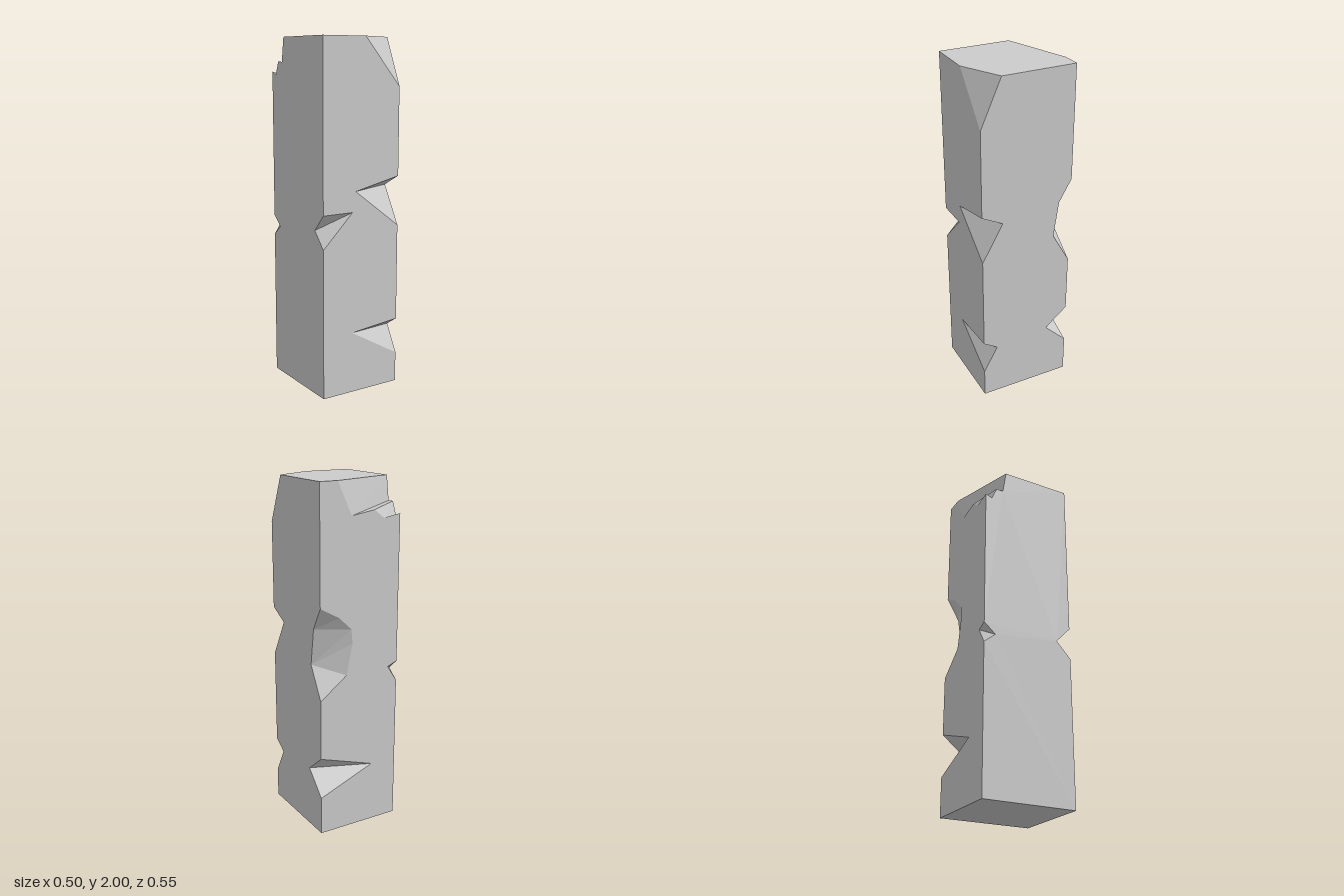
import * as THREE from 'three';

const HX = 0.25, HZ = 0.275, H = 2;

// Chips broken out of the upright edges, listed bottom to top for each edge.
// lo / hi: heights where the chip starts and ends on the edge (no hi: it reaches the top).
// rungs: [x, y on the front/back face, z, y on the side face], from low to high.
const edges = [
  { sx: 1, sz: 1, chips: [
    { name: 'lowerFrontLeftChip', lo: 0.175, hi: 0.385, rungs: [[-0.06, 0.355, 0.19, 0.33]] },
    { name: 'middleFrontLeftChip', lo: 0.945, hi: 1.23, rungs: [[-0.04, 1.165, 0.15, 1.165]] },
    { name: 'topFrontLeftChip', lo: 1.73, rungs: [[0.02, H, 0.155, H]] },
  ] },
  { sx: 1, sz: -1, chips: [
    { name: 'lowerBackLeftChip', lo: 0.225, hi: 0.47, rungs: [[-0.088, 0.36, -0.14, 0.36]] },
    { name: 'middleBackLeftChip', lo: 0.815, hi: 1.34, rungs: [
      [0.085, 0.94, -0.17, 1], [0.048, 1.115, -0.17, 1], [0.055, 1.2, -0.17, 1],
      [0.055, 1.2, -0.2, 1.21], [0.134, 1.275, -0.2, 1.21]] },
  ] },
  { sx: -1, sz: -1, chips: [
    { name: 'middleBackRightChip', lo: 0.85, hi: 0.967, rungs: [[-0.19, 0.943, -0.206, 0.907]] },
    { name: 'topBackRightChip', lo: 1.807, rungs: [
      [-0.145, 1.79, -0.235, 1.79], [-0.083, 1.837, -0.204, 1.865],
      [0.058, 1.815, -0.162, 1.863], [0.143, H, -0.141, H]] },
  ] },
  { sx: -1, sz: 1, chips: [
    { name: 'middleFrontRightChip', lo: 0.86, hi: 1.05, rungs: [[-0.06, 1.05, 0.187, 0.955]] },
  ] },
];

const material = new THREE.MeshStandardMaterial({ color: 0xcccccc, flatShading: true });

// Flat mesh from triangles of Vector3, leaving out empty ones
function triangleMesh(name, triangles, flip = false) {
  const points = [];
  for (const [a, b, c] of triangles) {
    if (new THREE.Triangle(a, b, c).getArea() < 1e-8) continue;
    points.push(...(flip ? [a, c, b] : [a, b, c]));
  }
  const geometry = new THREE.BufferGeometry().setFromPoints(points);
  geometry.computeVertexNormals();
  const mesh = new THREE.Mesh(geometry, material);
  mesh.name = name;
  return mesh;
}

// Ladder of quads joining the two outlines of a chip
function chipMesh({ name, lo, hi, rungs }, { sx, sz }) {
  const corner = (y) => [new THREE.Vector3(sx * HX, y, sz * HZ), new THREE.Vector3(sx * HX, y, sz * HZ)];
  const ladder = [corner(lo)];
  for (const [x, ya, z, yb] of rungs) {
    ladder.push([new THREE.Vector3(x, ya, sz * HZ), new THREE.Vector3(sx * HX, yb, z)]);
  }
  if (hi) ladder.push(corner(hi));
  const triangles = [];
  for (let i = 0; i + 1 < ladder.length; i++) {
    const [a, b] = ladder[i], [c, d] = ladder[i + 1];
    triangles.push([a, b, d], [a, d, c]);
  }
  return triangleMesh(name, triangles, sx * sz < 0);
}

// Outline of one upright edge on a wall, bottom to top; k = 0 front/back wall, 2 side wall
function edgeOutline({ sx, sz, chips }, k) {
  const u = k === 0 ? sx * HX : sz * HZ;
  const line = [new THREE.Vector2(u, 0)];
  const add = (p, y) => {
    const v = new THREE.Vector2(p, y);
    if (!v.equals(line[line.length - 1])) line.push(v);
  };
  let open = false;
  for (const { lo, hi, rungs } of chips) {
    add(u, lo);
    rungs.forEach((r) => add(r[k], r[k + 1]));
    if (hi) add(u, hi);
    else open = true;
  }
  if (!open) add(u, H);
  return line;
}

// Wall between two edges, cut to their chipped outlines
function wallMesh(name, k, sign) {
  const find = (s) => edges.find((e) => (k === 0 ? e.sx === s && e.sz === sign : e.sz === s && e.sx === sign));
  const outline = [...edgeOutline(find(1), k), ...edgeOutline(find(-1), k).reverse()];
  const place = (p) => (k === 0 ? new THREE.Vector3(p.x, p.y, sign * HZ) : new THREE.Vector3(sign * HX, p.y, p.x));
  const faces = THREE.ShapeUtils.triangulateShape(outline, []);
  return triangleMesh(name, faces.map((f) => f.map((i) => place(outline[i]))), k === 0 ? sign < 0 : sign > 0);
}

// Level cap at the top or bottom, with broken corners cut away
function capMesh(name, y) {
  const ring = [];
  for (const { sx, sz, chips } of edges) {
    const broken = y > 0 && chips.find((c) => !c.hi);
    if (broken) {
      const [x, , z] = broken.rungs[broken.rungs.length - 1];
      ring.push(new THREE.Vector3(x, y, sz * HZ), new THREE.Vector3(sx * HX, y, z));
      // the far side of the cut comes first where the ring runs the other way
      if (sx * sz < 0) ring.push(ring.splice(-2, 1)[0]);
    } else ring.push(new THREE.Vector3(sx * HX, y, sz * HZ));
  }
  const triangles = [];
  for (let i = 1; i + 1 < ring.length; i++) triangles.push([ring[0], ring[i], ring[i + 1]]);
  return triangleMesh(name, triangles, y === 0);
}

export function createModel() {
  const model = new THREE.Group();
  model.name = 'chippedStonePillar';

  // Walls and caps
  const block = new THREE.Group();
  block.name = 'block';
  block.add(
    wallMesh('frontWall', 0, 1), wallMesh('backWall', 0, -1),
    wallMesh('leftWall', 2, 1), wallMesh('rightWall', 2, -1),
    capMesh('top', H), capMesh('bottom', 0),
  );

  // Broken surfaces
  const chips = new THREE.Group();
  chips.name = 'chips';
  for (const edge of edges) for (const chip of edge.chips) chips.add(chipMesh(chip, edge));

  model.add(block, chips);
  return model;
}
